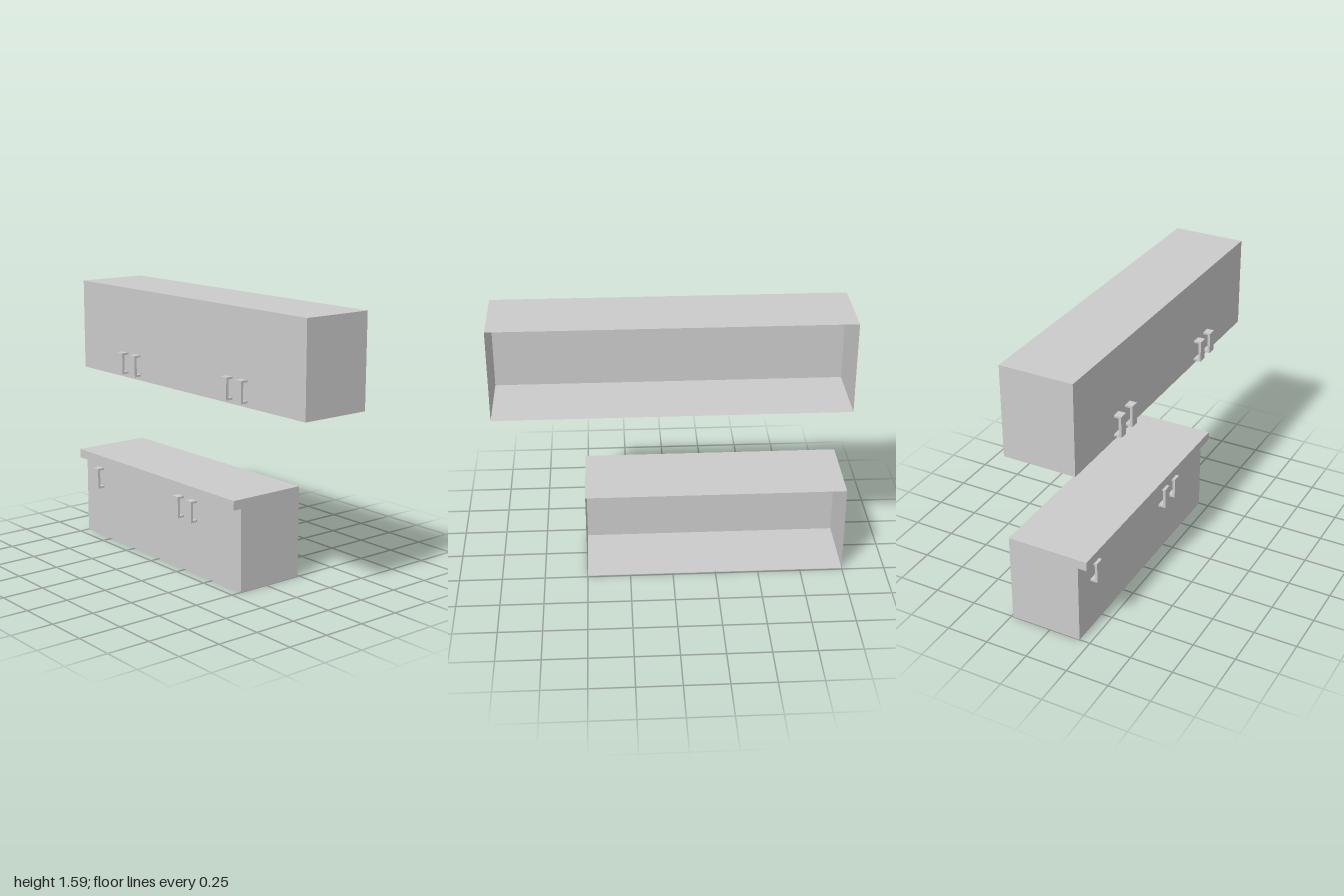
import * as THREE from 'three';

const BACK = -0.238, FRONT = 0.187, LIP = 0.24;
const shellMat = new THREE.MeshStandardMaterial({ color: 0xcccccc, side: THREE.DoubleSide });
const handleMat = new THREE.MeshStandardMaterial({ color: 0xcccccc });

// Thin-walled cabinet with an open back: a (z, y) profile swept from x0 to x1
function cabinetShell(name, profile, x0, x1) {
  const group = new THREE.Group();
  group.name = name;

  const pos = [];
  for (let i = 0; i < profile.length - 1; i++) {
    const [az, ay] = profile[i], [bz, by] = profile[i + 1];
    const a = [x0, ay, az], b = [x1, ay, az], c = [x1, by, bz], d = [x0, by, bz];
    pos.push(...a, ...b, ...c, ...a, ...c, ...d);
  }
  const walls = new THREE.BufferGeometry();
  walls.setAttribute('position', new THREE.Float32BufferAttribute(pos, 3));
  walls.computeVertexNormals();
  const wallMesh = new THREE.Mesh(walls, shellMat);
  wallMesh.name = name + 'Walls';
  group.add(wallMesh);

  // End panels follow the same profile
  const shape = new THREE.Shape(profile.map(([z, y]) => new THREE.Vector2(z, y)));
  const panel = new THREE.ShapeGeometry(shape).rotateY(-Math.PI / 2);
  for (const [side, x] of [['Right', x0], ['Left', x1]]) {
    const mesh = new THREE.Mesh(panel, shellMat);
    mesh.name = name + side + 'Panel';
    mesh.position.x = x;
    group.add(mesh);
  }
  return group;
}

// C-shaped bar handle: full-width arms and a front plate
function handleGeometry() {
  const w = 0.053, h = 0.126, depth = 0.044, t = 0.015, arm = 0.012;
  const c = new THREE.Shape([
    [0, 0], [depth, 0], [depth, h], [0, h], [0, h - arm],
    [depth - t, h - arm], [depth - t, arm], [0, arm],
  ].map(([z, y]) => new THREE.Vector2(z, y - h / 2)));
  return new THREE.ExtrudeGeometry(c, { depth: w, bevelEnabled: false })
    .translate(0, 0, -w / 2)
    .rotateY(-Math.PI / 2);
}

export function createModel() {
  const model = new THREE.Group();
  model.name = 'kitchenCabinets';

  // Wall cabinet
  const upper = cabinetShell('upperCabinet',
    [[BACK, 1.052], [FRONT, 1.052], [FRONT, 1.585], [BACK, 1.585]], -1, 1);

  // Base cabinet with an overhanging worktop edge
  const lower = cabinetShell('lowerCabinet',
    [[BACK, 0], [FRONT, 0], [FRONT, 0.481], [LIP, 0.481], [LIP, 0.535], [BACK, 0.535]], -1, 0.5);

  // Door handles
  const geo = handleGeometry();
  const addHandles = (cabinet, y, xs) => xs.forEach((x) => {
    const handle = new THREE.Mesh(geo, handleMat);
    handle.name = 'handle';
    handle.position.set(x, y, FRONT);
    cabinet.add(handle);
  });
  addHandles(upper, 1.139, [-0.567, -0.443, 0.396, 0.519]);
  addHandles(lower, 0.377, [-0.845, -0.037, 0.086]);

  model.add(upper, lower);
  return model;
}
